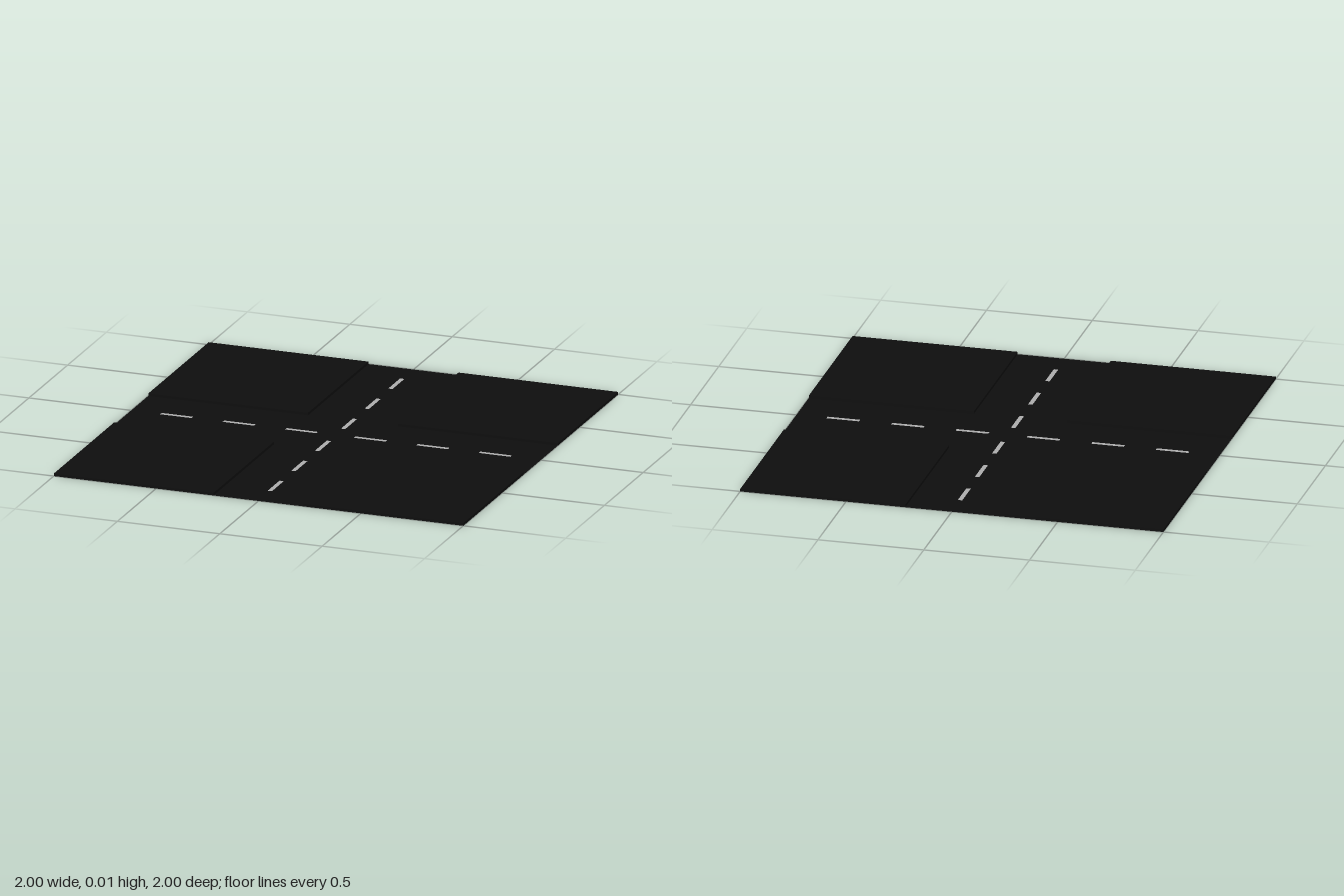
import * as THREE from 'three';

const HALF = 1;          // half the tile
const ROAD = 0.22;       // half the road width
const KERB = 0.012;      // pavement height

export function createModel() {
  const group = new THREE.Group();
  group.name = 'crossroads';
  const asphalt = new THREE.MeshStandardMaterial({ color: 0x0e0e0e, side: THREE.DoubleSide });
  asphalt.name = 'asphalt black';
  const paint = new THREE.MeshStandardMaterial({ color: 0xb0b0b0, side: THREE.DoubleSide });
  paint.name = 'line grey';

  const add = (name, geometry, material, x, y, z) => {
    const mesh = new THREE.Mesh(geometry, material);
    mesh.name = name;
    mesh.position.set(x, y, z);
    group.add(mesh);
  };
  const flat = (w, d) => new THREE.PlaneGeometry(w, d).rotateX(-Math.PI / 2);

  // Cross-shaped road surface: one full strip and two side arms
  const arm = HALF - ROAD;
  const mid = (HALF + ROAD) / 2;
  add('roadAlongZ', flat(ROAD * 2, HALF * 2), asphalt, 0, 0, 0);
  for (const s of [-1, 1]) add('roadArm', flat(arm, ROAD * 2), asphalt, s * mid, 0, 0);

  // Raised pavement block in each corner
  for (const sx of [-1, 1]) for (const sz of [-1, 1]) {
    add('pavement', new THREE.BoxGeometry(arm, KERB, arm), asphalt, sx * mid, KERB / 2, sz * mid);
  }

  // Dashed centre lines on both roads
  for (const s of [-1, 1]) for (const c of [0.168, 0.473, 0.778]) {
    add('dashAlongX', flat(0.154, 0.021), paint, s * c, 0.002, 0);
    add('dashAlongZ', flat(0.021, 0.154), paint, 0, 0.002, s * c);
  }
  return group;
}
